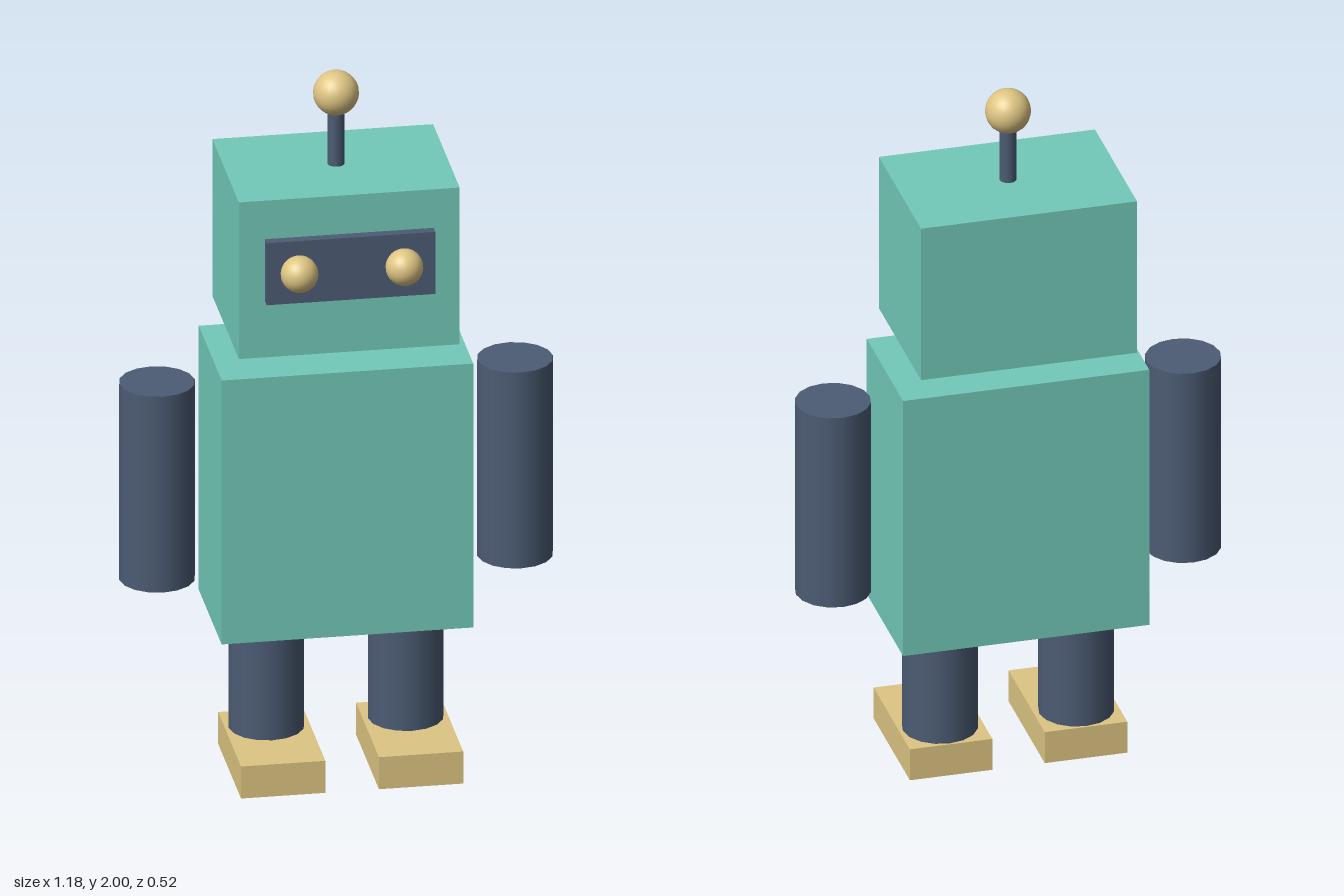
import * as THREE from 'three';

export function createModel() {
  const robot = new THREE.Group();
  robot.name = 'robot';

  const teal = new THREE.MeshStandardMaterial({ color: 0x72cab9 });
  const slate = new THREE.MeshStandardMaterial({ color: 0x4c5c74 });
  const gold = new THREE.MeshStandardMaterial({ color: 0xdec583 });

  const Z = -0.048; // depth of the body's centre line

  function add(name, geometry, material, x, y, z) {
    const mesh = new THREE.Mesh(geometry, material);
    mesh.name = name;
    mesh.position.set(x, y, z);
    robot.add(mesh);
  }
  const box = (w, h, d) => new THREE.BoxGeometry(w, h, d);
  const rod = (r, h, sides = 16) => new THREE.CylinderGeometry(r, r, h, sides);
  const ball = (r) => new THREE.SphereGeometry(r, 24, 16);

  // Body and head, with a small gap between them
  add('torso', box(0.686, 0.775, 0.372), teal, 0, 0.81, Z);
  add('head', box(0.602, 0.46, 0.43), teal, 0, 1.5, Z);

  // Face plate, half sunk into the head
  add('visor', box(0.46, 0.182, 0.056), slate, 0, 1.526, 0.167);

  // Antenna
  add('antennaRod', rod(0.023, 0.2), slate, 0, 1.82, Z);
  add('antennaBall', ball(0.062), gold, 0, 1.938, Z);

  // Mirrored parts
  for (const [side, s] of [['left', 1], ['right', -1]]) {
    add(side + 'Eye', ball(0.051), gold, s * 0.143, 1.527, 0.211);
    add(side + 'Arm', rod(0.103, 0.575), slate, s * 0.488, 0.837, Z);
    add(side + 'Leg', rod(0.103, 0.33), slate, s * 0.19, 0.258, Z);
    add(side + 'Foot', box(0.23, 0.094, 0.37), gold, s * 0.188, 0.047, 0.029);
  }

  return robot;
}
